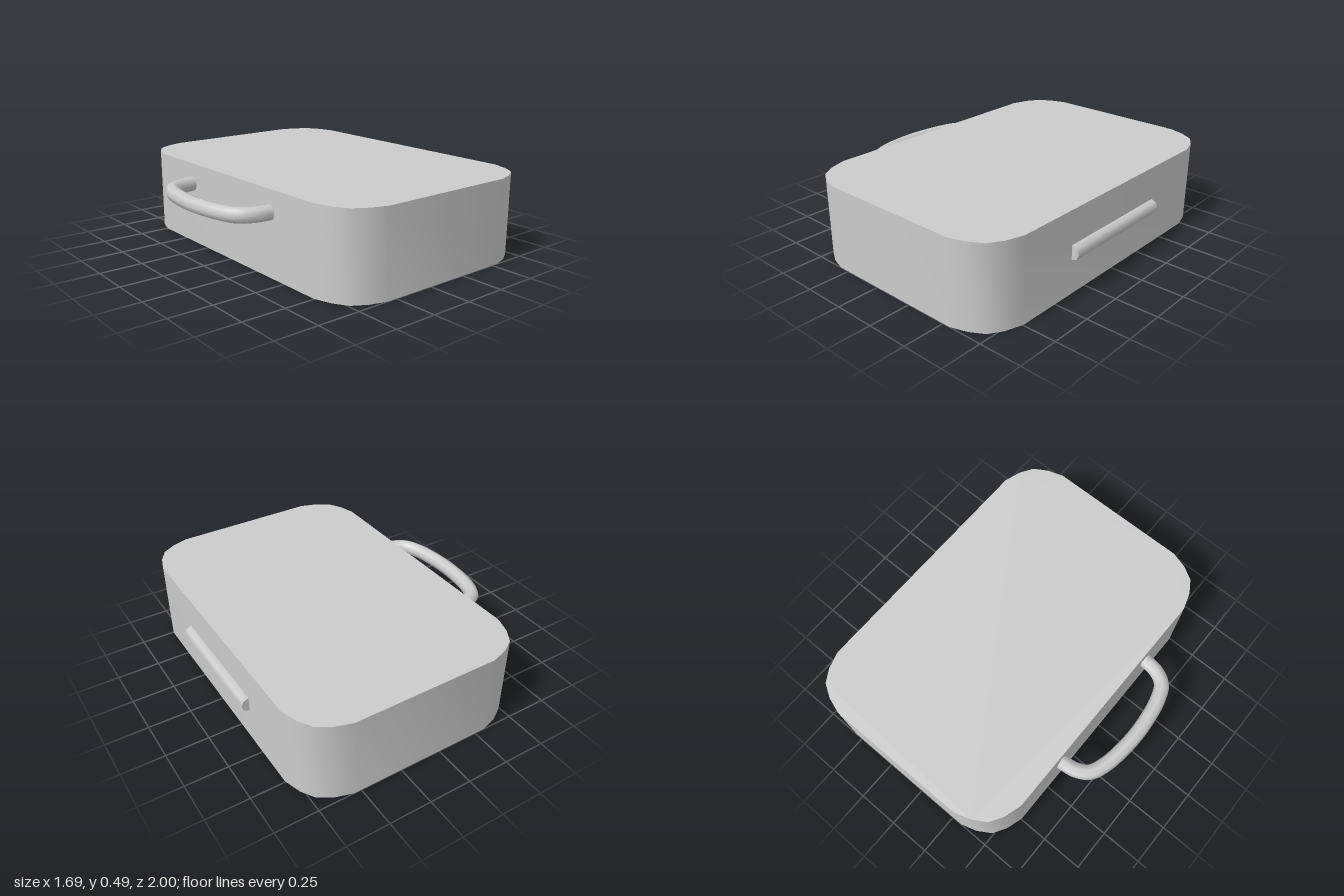
import * as THREE from 'three';
import { toCreasedNormals } from 'three/addons/utils/BufferGeometryUtils.js';

const grey = new THREE.MeshStandardMaterial({ color: 0xcccccc });
const greyOpen = new THREE.MeshStandardMaterial({ color: 0xcccccc, side: THREE.DoubleSide });

function part(name, geometry, material = grey) {
  const mesh = new THREE.Mesh(geometry, material);
  mesh.name = name;
  return mesh;
}

// Plan outline: a rectangle whose corners are cut by the same five points
function roundedOutline(halfX, halfZ) {
  const cut = [[0, 0.255], [0.032, 0.155], [0.08, 0.078], [0.16, 0.03], [0.255, 0]];
  const points = [];
  for (const [sx, sz] of [[1, 1], [-1, 1], [-1, -1], [1, -1]]) {
    const corner = cut.map(([dx, dz]) => new THREE.Vector2(sx * (halfX - dx), sz * (halfZ - dz)));
    if (sx * sz < 0) corner.reverse();
    points.push(...corner);
  }
  return new THREE.Shape(points);
}

export function createModel() {
  const model = new THREE.Group();
  model.name = 'case';

  // Body: the outline raised to the full height, soft round the corners
  const bodyGeometry = new THREE.ExtrudeGeometry(roundedOutline(0.685, 1), { depth: 0.49, bevelEnabled: false });
  bodyGeometry.rotateX(-Math.PI / 2);
  const body = part('body', toCreasedNormals(bodyGeometry, 0.6));
  body.position.x = 0.115;
  model.add(body);

  // Carrying handle: a mirrored bow on the -x side
  const half = [[-0.57, 0.393], [-0.66, 0.38], [-0.735, 0.335], [-0.775, 0.24], [-0.795, 0.12]];
  const bow = [...half, [-0.802, 0], ...half.map(([x, z]) => [x, -z]).reverse()];
  const path = new THREE.CatmullRomCurve3(bow.map(([x, z]) => new THREE.Vector3(x, 0.365, z - 0.004)));
  model.add(part('handle', new THREE.TubeGeometry(path, 36, 0.044, 8), greyOpen));

  // Hinge bar: an eight-sided rod half sunk in the +x side
  const hinge = part('hingeBar', new THREE.CylinderGeometry(0.043, 0.043, 0.75, 8));
  hinge.rotation.x = Math.PI / 2;
  hinge.position.set(0.801, 0.247, -0.002);
  model.add(hinge);

  return model;
}
